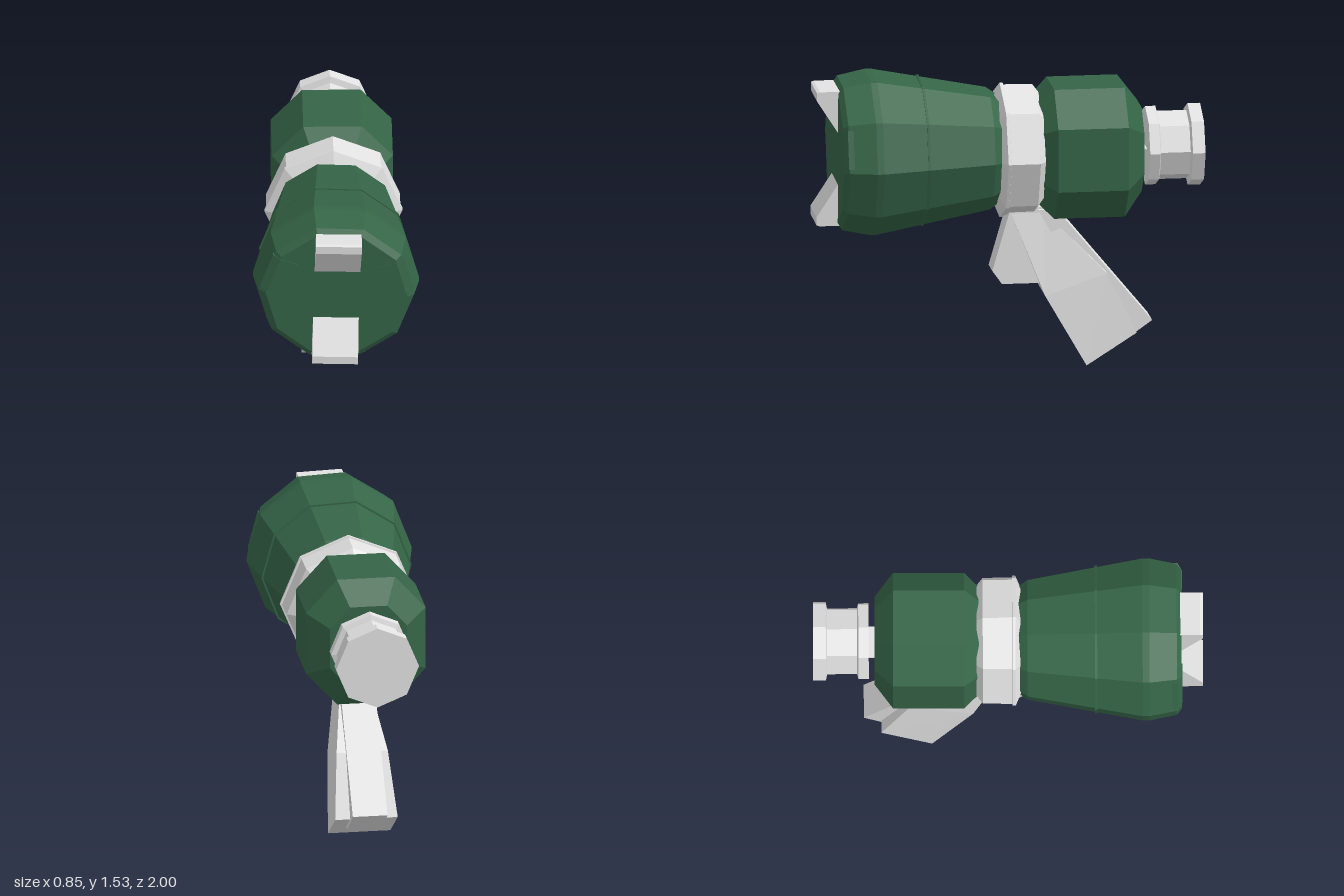
import * as THREE from 'three';

const AXIS_Y = 1.111;
const BARREL_Y = 1.122;

export function createModel() {
  const green = new THREE.MeshStandardMaterial({ color: 0x356547, flatShading: true });
  green.name = 'dark green';
  const grey = new THREE.MeshStandardMaterial({ color: 0xe2e2e2, flatShading: true });
  grey.name = 'light grey';

  const model = new THREE.Group();
  model.name = 'nozzleGun';

  const add = (name, geometry, material) => {
    const mesh = new THREE.Mesh(geometry, material);
    mesh.name = name;
    model.add(mesh);
    return mesh;
  };

  // Faceted solid of revolution along z; profile is [radius, z] with z rising
  const turned = (name, profile, sides, material, y = AXIS_Y, twist = 0) => {
    const points = profile.map(([r, z]) => new THREE.Vector2(r, z));
    const g = new THREE.LatheGeometry(points, sides);
    g.rotateX(Math.PI / 2).rotateZ(twist);
    const mesh = add(name, g, material);
    mesh.position.y = y;
    return mesh;
  };

  // Side outline of [z, y] points, extruded across x
  const slab = (name, outline, width, material) => {
    const shape = new THREE.Shape(outline.map(([z, y]) => new THREE.Vector2(z, y)));
    const g = new THREE.ExtrudeGeometry(shape, { depth: width, bevelEnabled: false });
    g.translate(0, 0, -width / 2).rotateY(-Math.PI / 2);
    return add(name, g, material);
  };

  // Flared front barrel with ten sides and a thin band
  const twist = THREE.MathUtils.degToRad(15.3);
  turned('frontBarrel', [[0, 0.04], [0.28, 0.05], [0.315, 0.1], [0.427, 0.69], [0.427, 0.725],
    [0.398, 0.865], [0.365, 0.89], [0, 0.89]], 10, green, BARREL_Y, twist);
  turned('barrelBand', [[0.36, 0.445], [0.39, 0.445], [0.39, 0.457], [0.36, 0.457]], 10, green, BARREL_Y, twist);

  // Middle collar with a thin flange
  turned('collar', [[0, -0.165], [0.3, -0.162], [0.343, -0.13], [0.345, 0.02],
    [0.355, 0.022], [0.355, 0.038], [0.29, 0.065], [0, 0.065]], 8, grey);

  // Rear housing: eight sides with flat top and sides, taller than wide
  const housing = turned('rearHousing', [[0, -0.685], [0.645, -0.685], [1, -0.59], [1, -0.225],
    [0.79, -0.15], [0, -0.15]], 8, green, AXIS_Y + 0.003, Math.PI / 8);
  const h = housing.geometry.attributes.position;
  for (let i = 0; i < h.count; i++) {
    const x = h.getX(i), y = h.getY(i), r = Math.hypot(x, y);
    const tall = Math.abs(y) > Math.abs(x);
    h.setX(i, Math.sign(x) * r * (tall ? 0.15 : 0.31));
    h.setY(i, Math.sign(y) * r * (tall ? 0.34 : 0.165));
  }

  // Rear cap: flange, waist and end plate, joined by a flat tongue
  turned('rearCap', [[0, -1], [0.215, -1], [0.215, -0.935], [0.18, -0.928], [0.18, -0.775],
    [0.207, -0.768], [0.207, -0.715], [0, -0.715]], 8, grey);
  const tongue = add('capTongue', new THREE.BoxGeometry(0.17, 0.006, 0.06), grey);
  tongue.position.set(-0.005, AXIS_Y, -0.7);

  // Four muzzle claws: grey wedges above and below, flush green tabs at the sides
  const wedge = [[0.86, 0.137], [0.89, 0.137], [1, 0.308], [1, 0.35], [0.985, 0.356], [0.86, 0.356]];
  [['upperClaw', 0], ['lowerClaw', Math.PI]].forEach(([name, angle]) => {
    const claw = slab(name, wedge, 0.235, grey);
    claw.position.y = BARREL_Y;
    claw.rotation.z = angle - 0.03;
  });
  [['leftTab', -1], ['rightTab', 1]].forEach(([name, side]) => {
    const tab = slab(name, [[0.84, 0.25], [0.893, 0.25], [0.893, 0.345], [0.87, 0.385], [0.84, 0.385]], 0.2, green);
    tab.position.y = BARREL_Y;
    tab.rotation.z = side * Math.PI / 2 + (side > 0 ? -0.36 : 0.26);
  });

  // Trigger guard block in front of the grip
  slab('trigger', [[0, 0.82], [0, 0.785], [0.085, 0.49], [0.035, 0.42],
    [-0.19, 0.42], [-0.2, 0.82]], 0.145, grey);

  // Flared grip: each row gives half width, front z and y, rear z and y
  const rows = [
    [0.162, -0.39, 0, -0.65, 0.165],
    [0.133, -0.18, 0.365, -0.5, 0.475],
    [0.065, -0.01, 0.8, -0.18, 0.8],
  ];
  const grip = new THREE.BoxGeometry(1, 1, 1, 1, 2, 1);
  const p = grip.attributes.position;
  for (let i = 0; i < p.count; i++) {
    const [half, fz, fy, rz, ry] = rows[Math.round(p.getY(i) * 2) + 1];
    const front = p.getZ(i) > 0;
    p.setXYZ(i, p.getX(i) * 2 * half + 0.006, front ? fy : ry, front ? fz : rz);
  }
  grip.computeVertexNormals();
  add('grip', grip, grey);

  // Raised spine along the back of the grip
  slab('gripSpine', [[-0.15, 0.81], [-0.25, 0.805], [-0.74, 0.21], [-0.53, 0.062], [-0.4, 0.35]], 0.18, grey);

  return model;
}
